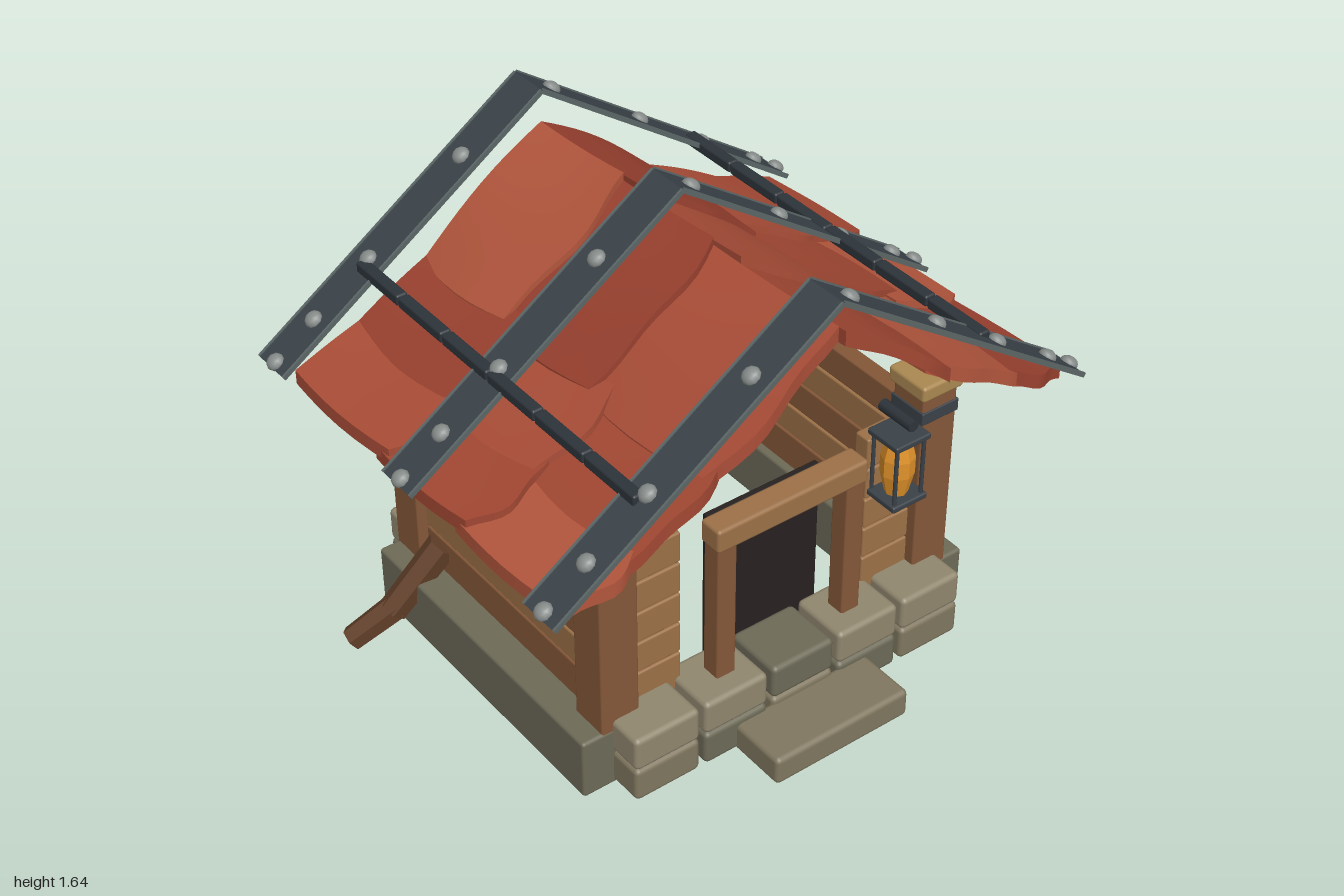
import * as THREE from 'three';
import { RoundedBoxGeometry } from 'three/addons/geometries/RoundedBoxGeometry.js';

const mat = (color) => new THREE.MeshStandardMaterial({ color });
const M = {
  post: mat(0x855839), plankLight: mat(0x9c7148), plankDark: mat(0x845738), cap: mat(0xab8952), log: mat(0x63402a),
  stone: mat(0x6d6a57), stoneLight: mat(0x91876f), stoneWarm: mat(0x80775f), dark: mat(0x272120),
  iron: mat(0x3a4249), rim: mat(0x5c6666), purlin: mat(0x2d343a), bolt: mat(0x868c8a), amber: mat(0xe0922a),
  tiles: [mat(0xab4e38), mat(0xa34833), mat(0xb3563d), mat(0x9a412f)],
};
M.log.flatShading = true;
const CX = -0.018, CZ = -0.04; // middle of the hut

export function createModel() {
  const root = new THREE.Group();

  const group = (name, parent = root) => {
    const g = new THREE.Group();
    g.name = name;
    parent.add(g);
    return g;
  };
  const add = (parent, name, geo, material, x = 0, y = 0, z = 0) => {
    const m = new THREE.Mesh(geo, material);
    m.name = name;
    m.position.set(x, y, z);
    parent.add(m);
    return m;
  };
  // Softened box given by its lower and upper bounds
  const block = (parent, name, material, [x0, x1], [y0, y1], [z0, z1], r = 0.008) =>
    add(parent, name, new RoundedBoxGeometry(x1 - x0, y1 - y0, z1 - z0, 2, r), material,
      (x0 + x1) / 2, (y0 + y1) / 2, (z0 + z1) / 2);
  // Cylinder between two points
  const rod = (parent, name, material, a, b, r0, r1, sides) => {
    const p = new THREE.Vector3(...a), q = new THREE.Vector3(...b), d = q.clone().sub(p);
    const m = add(parent, name, new THREE.CylinderGeometry(r1, r0, d.length(), sides), material);
    m.position.copy(p).add(q).multiplyScalar(0.5);
    m.quaternion.setFromUnitVectors(new THREE.Vector3(0, 1, 0), d.normalize());
  };

  // Stone base: long side blocks, two courses at front and back, step
  const base = group('stoneBase');
  for (const x of [[-0.76, -0.56], [0.53, 0.725]])
    block(base, 'sideFoundation', M.stone, x, [0.045, 0.262], [-0.6, 0.525], 0.012);
  const stoneMats = [M.stoneLight, M.stoneWarm, M.stone];
  for (const [side, z] of [[0, [0.43, 0.64]], [1, [-0.72, -0.51]]])
    for (let row = 0; row < 2; row++)
      for (let i = 0; i < 5; i++) {
        const x = -0.65 + i * 0.257, y = 0.053 + row * 0.122;
        const m = row ? stoneMats[[0, 0, 2, 0, 0][i]] : stoneMats[(i + side) % 2 ? 2 : 1];
        block(base, 'foundationStone', m, [x, x + 0.237], [y, y + 0.121], z, 0.018);
      }
  block(base, 'doorStep', M.stoneWarm, [-0.275, 0.24], [0.048, 0.15], [0.62, 0.835], 0.018);

  // Corner posts with iron bands and caps
  for (const sx of [-1, 1])
    for (const sz of [-1, 1]) {
      const g = group('cornerPost');
      g.position.set(CX + sx * 0.602, 0, CZ + sz * 0.495);
      block(g, 'shaft', M.post, [-0.068, 0.068], [0.25, 0.95], [-0.068, 0.068], 0.008);
      block(g, 'band', M.iron, [-0.073, 0.073], [0.85, 0.895], [-0.073, 0.073], 0.004);
      block(g, 'cap', M.cap, [-0.082, 0.082], [0.942, 0.998], [-0.082, 0.082], 0.012);
    }

  // Plank walls: five boards each, with narrow gaps
  const walls = group('walls');
  for (let i = 0; i < 5; i++) {
    const y0 = i ? 0.278 + i * 0.116 : 0.25, y = [y0, 0.278 + (i + 1) * 0.116 - 0.006];
    const m = i % 2 ? M.plankLight : M.plankDark;
    for (const s of [-1, 1])
      block(walls, 'sidePlank', m, [CX + s * 0.605 - 0.03, CX + s * 0.605 + 0.03], y, [-0.49, 0.41], 0.007);
    block(walls, 'backPlank', M.plankDark, [-0.57, 0.535], y, [-0.57, -0.51], 0.007);
    for (const x of [[-0.57, -0.37], [0.335, 0.53]])
      block(walls, 'frontPlank', M.plankLight, x, y, [0.425, 0.485], 0.007);
  }

  // Doorway with the panel set behind the frame
  const door = group('door');
  for (const x of [[-0.295, -0.225], [0.19, 0.26]])
    block(door, 'jamb', M.post, x, [0.285, 0.8], [0.495, 0.565], 0.008);
  block(door, 'lintel', M.plankLight, [-0.3, 0.265], [0.785, 0.868], [0.485, 0.572], 0.012);
  block(door, 'doorPanel', M.dark, [-0.23, 0.195], [0.24, 0.8], [0.405, 0.428], 0.004);

  // Window on one side wall
  const win = group('window');
  block(win, 'pane', M.dark, [0.6, 0.632], [0.56, 0.79], [-0.255, 0], 0.004);
  for (const z of [0.01, -0.265])
    block(win, 'windowFrame', M.plankLight, [0.61, 0.658], [0.545, 0.8], [z - 0.012, z + 0.012], 0.008);
  block(win, 'windowBar', M.iron, [0.61, 0.642], [0.657, 0.667], [-0.255, 0], 0.003);

  // Bent logs propping the rear of both sides
  for (const s of [-1, 1]) {
    const g = group('propLog'), P = (x, y, z) => [CX + s * x, y, z];
    rod(g, 'upperLog', M.log, P(0.63, 0.36, -0.39), P(0.8, 0.145, -0.44), 0.052, 0.048, 6);
    rod(g, 'lowerLog', M.log, P(0.785, 0.16, -0.435), P(0.925, 0.045, -0.5), 0.047, 0.042, 6);
  }

  // Hanging lantern
  const lantern = group('lantern');
  lantern.position.set(0.408, 0, 0.54);
  const profile = [[0, 0.66], [0.036, 0.66], [0.054, 0.74], [0.054, 0.8], [0.036, 0.875], [0, 0.875]];
  const glow = new THREE.LatheGeometry(profile.map(([r, y]) => new THREE.Vector2(r, y)), 8).toNonIndexed();
  glow.computeVertexNormals();
  add(lantern, 'glass', glow, M.amber);
  for (const y of [0.655, 0.882])
    block(lantern, 'plate', M.iron, [-0.068, 0.068], [y - 0.011, y + 0.011], [-0.068, 0.068], 0.006);
  for (const x of [-0.053, 0.053])
    for (const z of [-0.053, 0.053]) rod(lantern, 'cageBar', M.iron, [x, 0.65, z], [x, 0.88, z], 0.007, 0.007, 6);
  rod(lantern, 'hook', M.purlin, [0, 0.943, -0.08], [0, 0.943, 0.06], 0.02, 0.02, 8);

  // Roof tiles: bowed slabs from (ax, ay) down to (bx, by), lifted at their front end
  const tile = (parent, [ax, ay, bx, by], bulge, z0, z1, k, m) => {
    const geo = new THREE.BoxGeometry(1, 1, 1, 10, 1, 6), p = geo.attributes.position;
    for (let i = 0; i < p.count; i++) {
      const u = bx > ax ? p.getX(i) + 0.5 : 0.5 - p.getX(i);
      const s = 0.5 - p.getY(i), v = p.getZ(i) + 0.5;
      const bow = Math.sin(Math.PI * u);
      const flare = 1 + 0.05 * Math.sin(Math.PI * v) * u;
      p.setXYZ(i,
        ax + (bx - ax) * u * flare,
        ay + (by - ay) * u + bulge * bow + 0.028 * v * v - 0.05 * s,
        z0 + (z1 - z0) * v + v * (0.045 * bow + 0.012 * Math.sin(u * 9 + k * 2)));
    }
    geo.computeVertexNormals();
    add(parent, 'roofTile', geo, m);
  };
  const roof = group('roofTiles');
  const columns = [
    { line: [-0.66, 1.085, -0.935, 0.985], bulge: 0.004, ends: [-0.17, 0.25, 0.7] },
    { line: [-0.39, 1.235, -0.76, 1.035], bulge: 0.012, ends: [-0.2, 0.24, 0.7] },
    { line: [-0.012, 1.525, -0.465, 1.195], bulge: 0.03, ends: [-0.26, 0.17, 0.71] },
    { line: [0.63, 1.085, 0.9, 0.985], bulge: 0.004, ends: [-0.24, 0.24, 0.7] },
    { line: [0.35, 1.24, 0.73, 1.035], bulge: 0.012, ends: [-0.22, 0.18, 0.7] },
    { line: [-0.012, 1.525, 0.415, 1.2], bulge: 0.03, ends: [-0.17, 0.3, 0.74] },
  ];
  columns.forEach(({ line, bulge, ends }, c) => ends.forEach((z1, r) =>
    tile(roof, line, bulge, r ? ends[r - 1] - 0.07 : -0.7, z1, c + r, M.tiles[(c * 3 + r) % 4])));

  // Iron straps over the roof with raised rims and bolts
  const apex = [-0.015, 1.64], eaves = [[-0.985, 0.985], [0.965, 0.97]];
  const boltX = [[-0.968, -0.825, -0.62, -0.27], [0.065, 0.4, 0.65, 0.87, 0.968]];
  for (const z of [0.67, -0.045, -0.755]) {
    const strap = group('roofStrap');
    eaves.forEach(([ex, ey], side) => {
      const dx = ex - apex[0], dy = ey - apex[1], len = Math.hypot(dx, dy);
      const half = group('strapHalf', strap);
      half.position.set((ex + apex[0]) / 2, (ey + apex[1]) / 2, z);
      half.rotation.z = Math.atan(dy / dx);
      add(half, 'strapPlate', new THREE.BoxGeometry(len, 0.008, 0.145), M.iron);
      for (const e of [-0.071, 0.071])
        add(half, 'strapRim', new THREE.BoxGeometry(len, 0.016, 0.008), M.rim, 0, 0, e);
      for (const x of boltX[side]) {
        const along = (x - half.position.x) / Math.cos(half.rotation.z);
        add(half, 'bolt', new THREE.SphereGeometry(0.03, 10, 8), M.bolt, along, 0.004, 0).scale.y = 0.75;
      }
    });
  }

  // Jointed iron bars running along both slopes
  for (const x of [-0.645, 0.607]) {
    const bar = group('roofBar');
    for (let i = 0; i < 6; i++) {
      const z = 0.665 - i * 0.238;
      block(bar, 'barSegment', M.purlin, [x - 0.02, x + 0.02], [1.2, 1.238], [z - 0.234, z], 0.008);
    }
  }
  return root;
}
